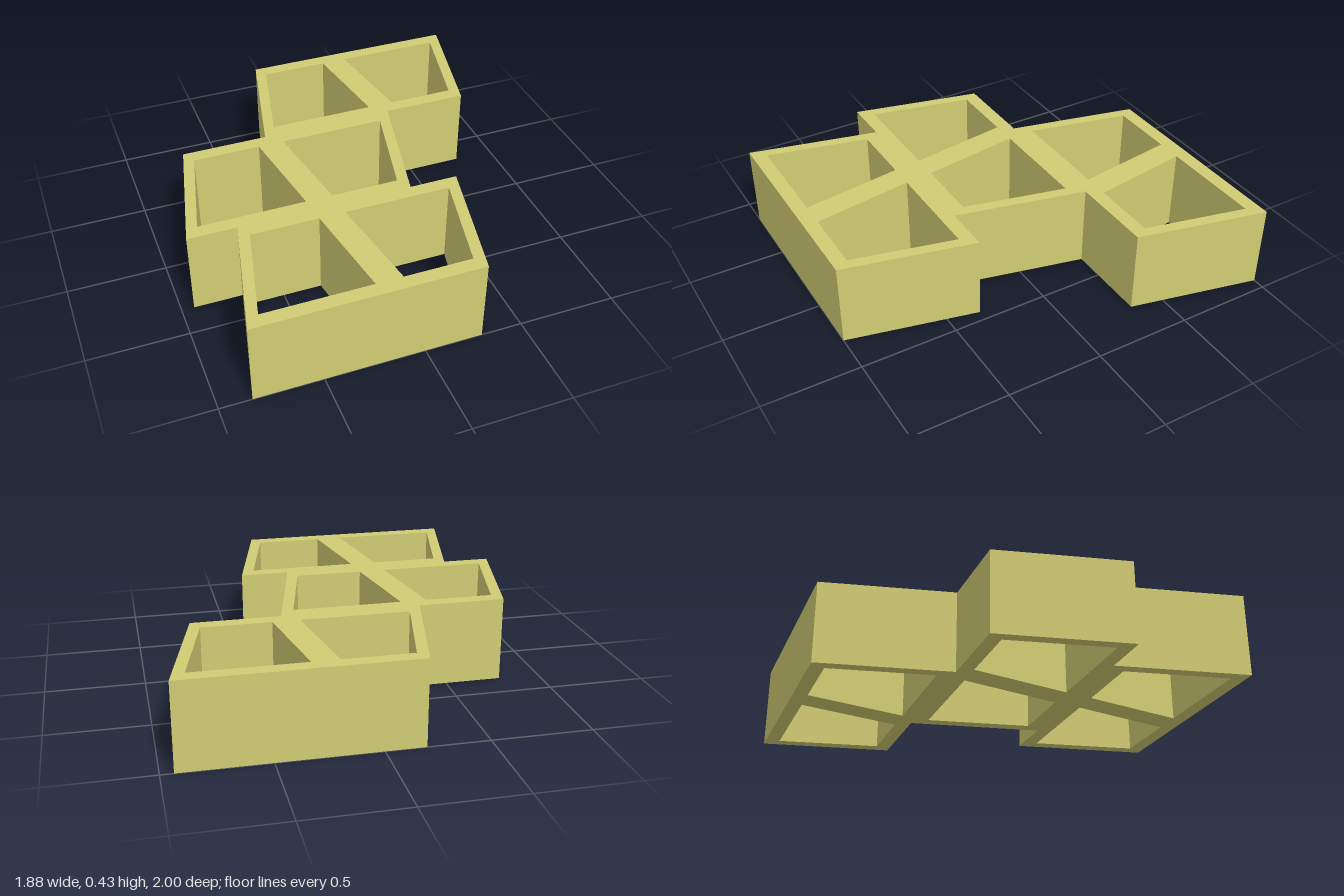
import * as THREE from 'three';

const HEIGHT = 0.433;
const ROW = 2 / 3; // depth of one row
const WIDTH = 1.134; // width of one row
const SLANT = -0.151; // sideways shift over one row

// Back-left corner x of each row, from back to front
const rowStarts = [-0.196, -0.787, -0.691];

// The two trapezoid cells of a row, relative to its back-left corner
const cells = [
  [[0.04, 0.072], [0.384, 0.072], [0.463, 0.594], [-0.08, 0.594]],
  [[0.516, 0.072], [1.061, 0.072], [0.941, 0.594], [0.598, 0.594]],
];

const toPoints = (list, x, z) => list.map(([px, pz]) => new THREE.Vector2(x + px, -(z + pz)));

export function createModel() {
  const group = new THREE.Group();
  group.name = 'cellBlock';
  const khaki = new THREE.MeshStandardMaterial({ color: 0xd1cc73 });
  khaki.name = 'khaki';

  // Stepped outline: down the left sides of the rows, then back up the right sides
  const right = [], left = [];
  rowStarts.forEach((x, i) => {
    const z = -1 + i * ROW;
    right.push([x + WIDTH, z], [x + WIDTH + SLANT, z + ROW]);
    left.push([x, z], [x + SLANT, z + ROW]);
  });
  const outline = new THREE.Shape(toPoints([...left, ...right.reverse()], 0, 0));

  // Open cells, cut right through
  rowStarts.forEach((x, i) => {
    for (const cell of cells) outline.holes.push(new THREE.Path(toPoints(cell, x, -1 + i * ROW)));
  });

  const geometry = new THREE.ExtrudeGeometry(outline, { depth: HEIGHT, bevelEnabled: false });
  geometry.rotateX(-Math.PI / 2);
  const walls = new THREE.Mesh(geometry, khaki);
  walls.name = 'cellWalls';
  group.add(walls);
  return group;
}
